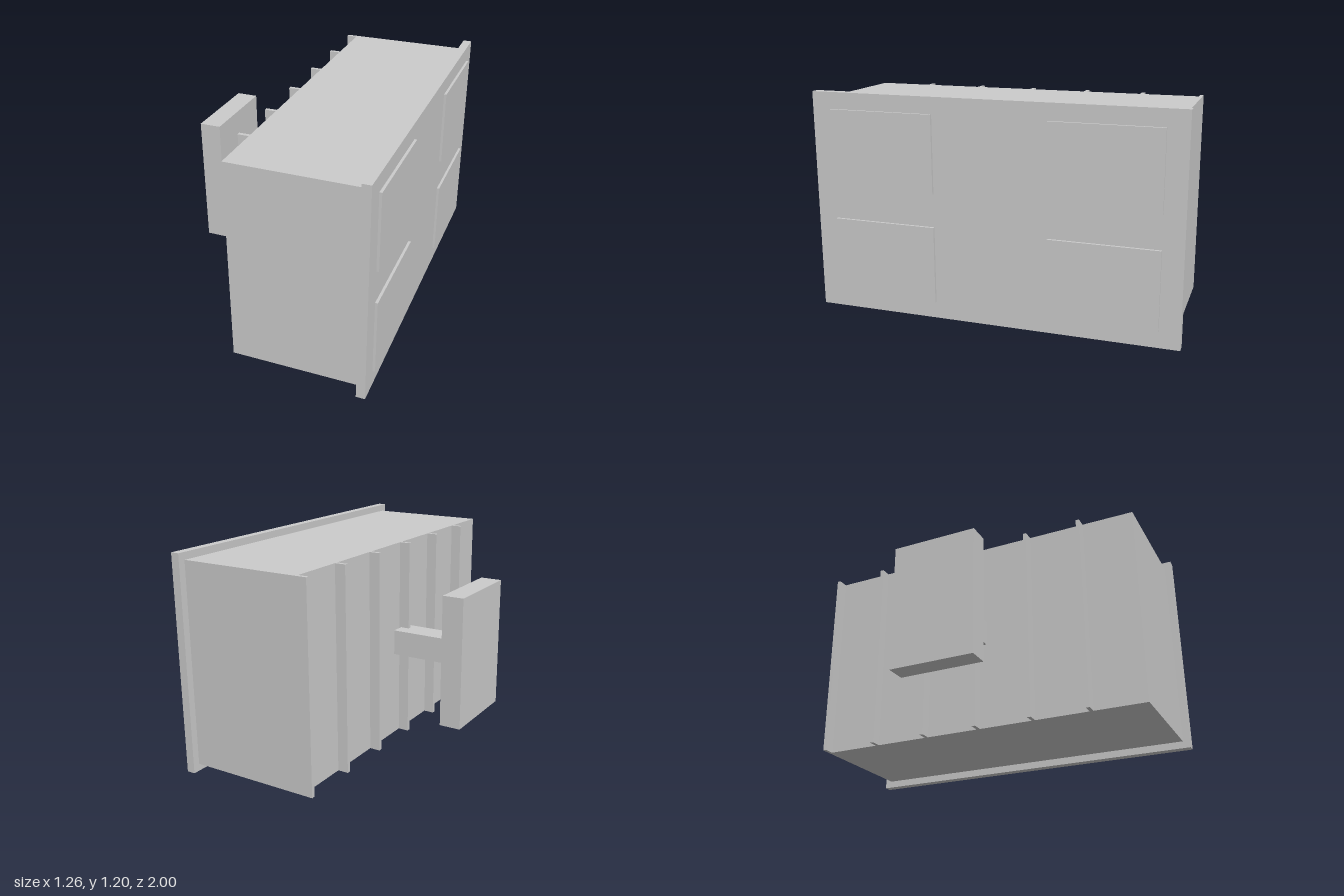
import * as THREE from 'three';

export function createModel() {
  const model = new THREE.Group();
  const material = new THREE.MeshStandardMaterial({ color: 0xcccccc, flatShading: true });

  // Box given by its lower and upper limits on each axis
  function box(name, [x0, x1], [y0, y1], [z0, z1]) {
    const mesh = new THREE.Mesh(new THREE.BoxGeometry(x1 - x0, y1 - y0, z1 - z0), material);
    mesh.position.set((x0 + x1) / 2, (y0 + y1) / 2, (z0 + z1) / 2);
    mesh.name = name;
    model.add(mesh);
  }

  // Main housing and its wider face plate
  box('housing', [-0.12, 0.568], [0.04, 1.16], [-0.96, 0.96]);
  box('facePlate', [0.568, 0.616], [0, 1.2], [-1, 1]);

  // Four raised panels on the face plate
  for (const y of [0.3, 0.9]) {
    for (const z of [-0.6, 0.6]) {
      box('facePanel', [0.616, 0.63], [y - 0.21, y + 0.21], [z - 0.29, z + 0.29]);
    }
  }

  // Upright ribs on the back of the housing
  for (let i = 0; i < 6; i++) {
    const z = -0.96 + i * 0.322;
    box('rib', [-0.18, -0.12], [0.04, 1.16], [z, z + 0.02]);
  }

  // Mounting arm and end plate
  box('mountArm', [-0.514, -0.13], [0.53, 0.67], [-0.07, 0.07]);
  box('mountPlate', [-0.632, -0.514], [0.24, 0.96], [-0.24, 0.24]);

  return model;
}
